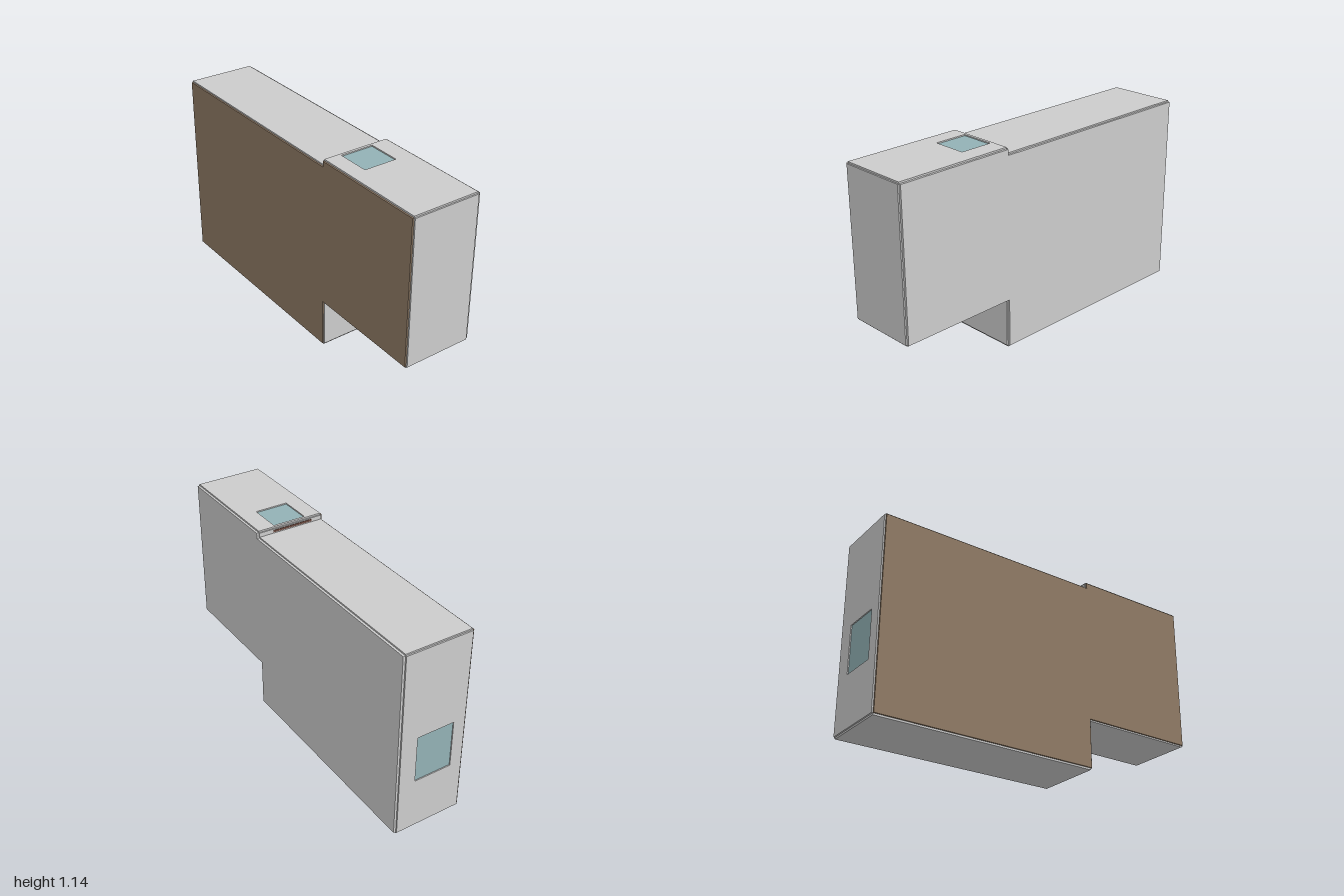
import * as THREE from 'three';

const grey = new THREE.MeshStandardMaterial({ color: 0xcccccc });
const brown = new THREE.MeshStandardMaterial({ color: 0x8f7a65 });
const glass = new THREE.MeshStandardMaterial({ color: 0x92b1b5 });
const dark = new THREE.MeshStandardMaterial({ color: 0x6a4a40 });

export function createModel() {
  const group = new THREE.Group();
  const add = (name, geometry, material) => {
    const mesh = new THREE.Mesh(geometry, material);
    mesh.name = name;
    group.add(mesh);
    return mesh;
  };
  // box given by its limits on each axis
  const box = (name, [x0, x1], [y0, y1], [z0, z1], material = grey) =>
    add(name, new THREE.BoxGeometry(x1 - x0, y1 - y0, z1 - z0), material)
      .position.set((x0 + x1) / 2, (y0 + y1) / 2, (z0 + z1) / 2);

  // stepped outline shared by the core and both large faces
  const outline = new THREE.Shape([
    [-0.992, 0.01], [0.308, 0.01], [0.308, 0.288], [0.992, 0.288],
    [0.992, 1.13], [0.31, 1.13], [0.31, 1.098], [-0.992, 1.098],
  ].map(([x, y]) => new THREE.Vector2(x, y)));
  const slab = (name, z0, z1, material) =>
    add(name, new THREE.ExtrudeGeometry(outline, { depth: z1 - z0, bevelEnabled: false }), material)
      .position.z = z0;
  slab('core', -0.192, 0.196, grey);
  slab('frontPanel', 0.196, 0.205, brown);
  slab('backPanel', -0.205, -0.192, grey);

  // thin edge panels butted between the two faces
  const depth = [-0.192, 0.196];
  box('bottomPanel', [-0.992, 0.308], [0, 0.01], depth);
  box('notchWall', [0.308, 0.316], [0.01, 0.28], depth);
  box('notchCeiling', [0.308, 0.992], [0.28, 0.288], depth);
  box('leftEndPanel', [0.992, 1], [0.288, 1.13], depth);
  box('lowerTopPanel', [-0.992, 0.302], [1.098, 1.106], depth);
  box('topStepWall', [0.302, 0.31], [1.106, 1.13], depth);
  box('stepSlot', [0.299, 0.303], [1.112, 1.124], [-0.107, 0.133], dark);

  // panel with a rectangular opening, drawn flat in its own u and v
  const windowPanel = (name, [u0, u1], [v0, v1], [a0, a1], [b0, b1], thickness) => {
    const rect = (Type, p0, p1, q0, q1) => new Type([[p0, q0], [p1, q0], [p1, q1], [p0, q1]]
      .map(([u, v]) => new THREE.Vector2(u, v)));
    const shape = rect(THREE.Shape, u0, u1, v0, v1);
    shape.holes.push(rect(THREE.Path, a0, a1, b0, b1));
    return add(name, new THREE.ExtrudeGeometry(shape, { depth: thickness, bevelEnabled: false }), grey);
  };

  // upper top panel: u = x, v = -z
  const top = windowPanel('upperTopPanel', [0.31, 0.992], [-0.196, 0.192],
    [0.325, 0.515], [-0.103, 0.09], 0.009);
  top.rotation.x = -Math.PI / 2;
  top.position.y = 1.13;
  box('topWindow', [0.325, 0.515], [1.128, 1.132], [-0.09, 0.103], glass);

  // right end panel: u = z, v = y
  const end = windowPanel('rightEndPanel', depth, [0.01, 1.098],
    [-0.095, 0.125], [0.31, 0.585], 0.008);
  end.rotation.y = -Math.PI / 2;
  end.position.x = -0.992;
  box('endWindow', [-0.994, -0.99], [0.31, 0.585], [-0.095, 0.125], glass);

  return group;
}
